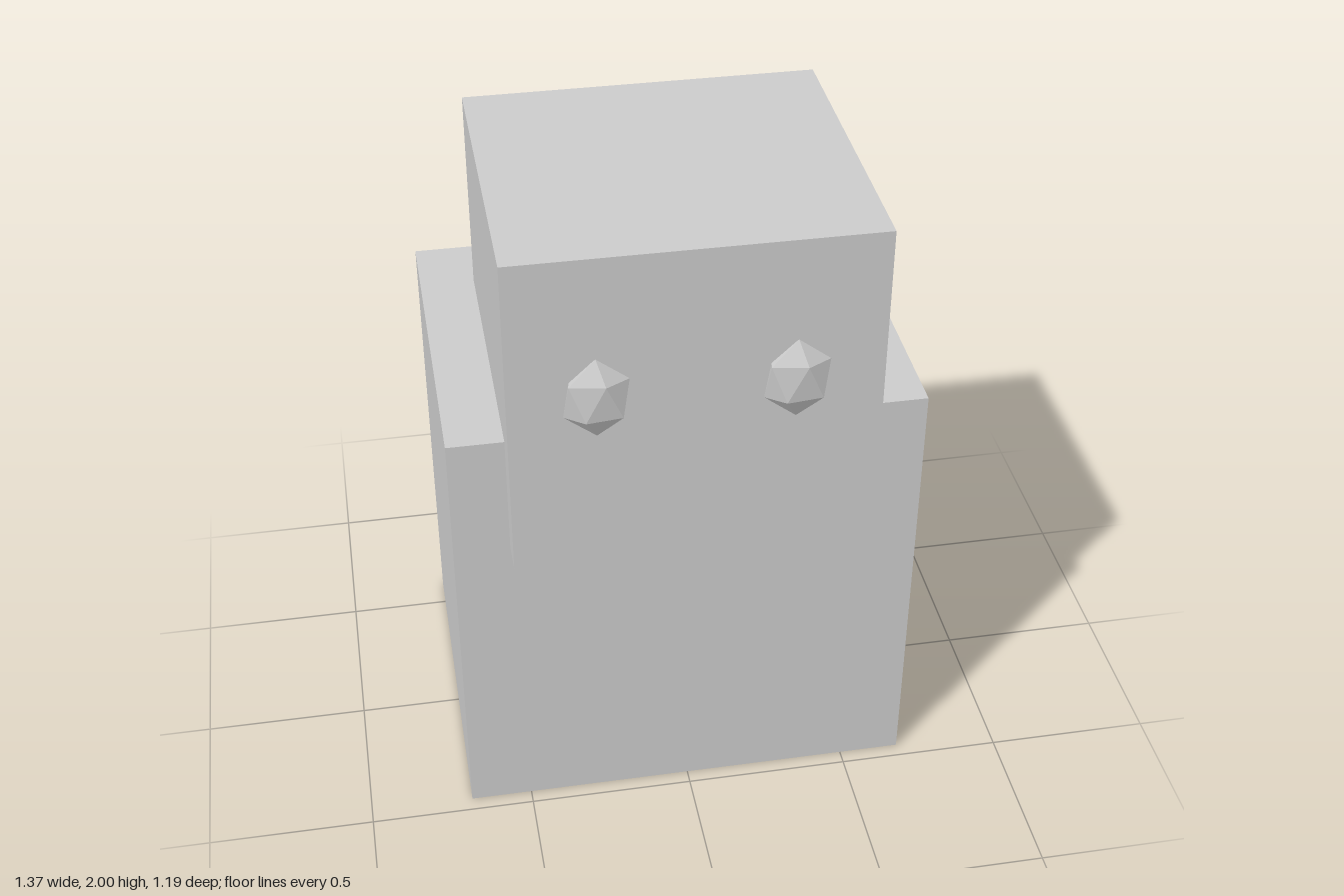
import * as THREE from 'three';

export function createModel() {
  const model = new THREE.Group();
  const material = new THREE.MeshStandardMaterial({ color: 0xcccccc, flatShading: true });

  const add = (name, geometry, x, y, z) => {
    const mesh = new THREE.Mesh(geometry, material);
    mesh.name = name;
    mesh.position.set(x, y, z);
    model.add(mesh);
  };

  // Block body and a head sunk into its top, overhanging the front
  add('body', new THREE.BoxGeometry(1.374, 1.376, 1.052), 0, 0.688, -0.071);
  add('head', new THREE.BoxGeometry(1.046, 1, 0.95), 0, 1.5, 0.078);

  // Faceted eyes: an icosahedron stood on its point, flattened front to back
  const eye = new THREE.IcosahedronGeometry(1, 0);
  eye.rotateZ(Math.atan2(2, 1 + Math.sqrt(5)));
  eye.rotateY(Math.PI - 0.07);
  eye.scale(0.102, 0.125, 0.046);
  add('leftEye', eye, 0.275, 1.565, 0.555);
  add('rightEye', eye, -0.278, 1.565, 0.555);

  return model;
}
